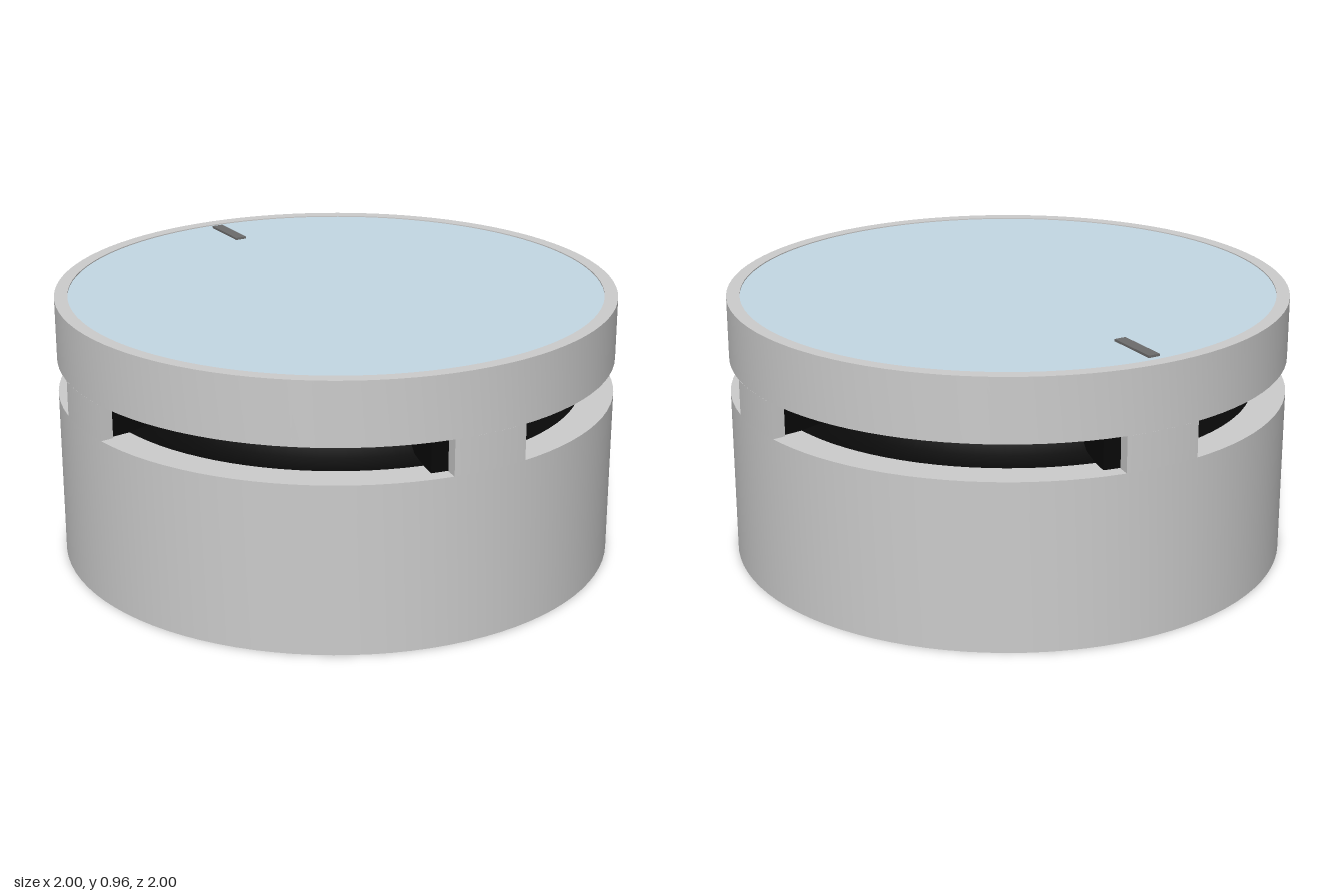
import * as THREE from 'three';
import { toCreasedNormals } from 'three/addons/utils/BufferGeometryUtils.js';

const rad = THREE.MathUtils.degToRad;
const grey = new THREE.MeshStandardMaterial({ color: 0xcccccc });
const black = new THREE.MeshStandardMaterial({ color: 0x080808 });
const blue = new THREE.MeshStandardMaterial({ color: 0xc3d8e4 });
const dark = new THREE.MeshStandardMaterial({ color: 0x6c6c6c });

// Angles are in degrees around y, from +z towards +x; shapes lie in the floor plane.
const polar = (r, deg) => new THREE.Vector2(r * Math.sin(rad(deg)), -r * Math.cos(rad(deg)));

function lathe(profile) {
  const pts = profile.map(([r, y]) => new THREE.Vector2(r, y));
  return toCreasedNormals(new THREE.LatheGeometry(pts, 96), 0.5);
}
const ring = (ri, ro, y0, y1) => lathe([[ri, y0], [ro, y0], [ro, y1], [ri, y1], [ri, y0]]);
const disc = (r, y0, y1) => lathe([[0, y0], [r, y0], [r, y1], [0, y1]]);

function slab(shape, y0, y1) {
  const g = new THREE.ExtrudeGeometry(shape, { depth: y1 - y0, bevelEnabled: false, curveSegments: 48 });
  g.rotateX(-Math.PI / 2).translate(0, y0, 0);
  return toCreasedNormals(g, 0.5);
}

// Part of a ring between two angles
function sector(ri, ro, a0, a1, y0, y1) {
  const s = new THREE.Shape();
  s.absarc(0, 0, ro, rad(a0 - 90), rad(a1 - 90), false);
  s.absarc(0, 0, ri, rad(a1 - 90), rad(a0 - 90), true);
  s.closePath();
  return slab(s, y0, y1);
}

// Rounded slot outline of half length h with end radii r0 and r1, set tangentially
function slotPoints(r, deg, h, r0, r1) {
  const c = polar(r, deg), o = new THREE.Vector2(), pts = [];
  const open = Math.asin(Math.min(1, r1 / r0));
  for (let i = 0; i <= 16; i++) {
    const t = -Math.PI / 2 + Math.PI * i / 16;
    pts.push(new THREE.Vector2(h + r1 * Math.cos(t), r1 * Math.sin(t)));
  }
  for (let i = 0; i <= 20; i++) {
    const t = open + (2 * Math.PI - 2 * open) * i / 20;
    pts.push(new THREE.Vector2(-h + r0 * Math.cos(t), r0 * Math.sin(t)));
  }
  return pts.map(p => p.rotateAround(o, rad(deg)).add(c));
}

function barPoints(r, deg, len, w) {
  const o = new THREE.Vector2(), c = polar(r, deg);
  return [[-1, -1], [1, -1], [1, 1], [-1, 1]].map(([a, b]) =>
    new THREE.Vector2(a * len / 2, b * w / 2).rotateAround(o, rad(deg)).add(c));
}

export function createModel() {
  const model = new THREE.Group();
  const add = (name, geometry, material = grey) => {
    const m = new THREE.Mesh(geometry, material);
    m.name = name;
    model.add(m);
    return m;
  };
  const quarters = [0, 90, 180, 270];

  // Outer housing with four long vent slots
  add('lowerHousing', ring(0.953, 1, 0, 0.602));
  add('upperHousing', ring(0.953, 1, 0.73, 0.955));
  for (const q of quarters) add('housingPillar', sector(0.953, 1, q + 7.8, q + 23.7, 0.602, 0.73));

  // Lid and its marker
  add('lid', disc(0.953, 0.91, 0.951), blue);
  const marker = add('lidMarker', new THREE.BoxGeometry(0.042, 0.02, 0.2), dark);
  marker.position.set(-0.227, 0.949, -0.79);
  marker.rotation.y = rad(15.7);

  // Vent chamber behind the slots: sill, dark cone, pale core, dark ceiling and posts
  add('chamberSill', disc(0.953, 0.56, 0.602));
  add('chamberCone', lathe([[0.88, 0.602], [0.8, 0.612], [0.69, 0.69], [0, 0.69]]), black);
  add('chamberCore', lathe([[0.69, 0.69], [0.69, 0.715], [0.82, 0.735], [0.82, 0.76], [0, 0.76]]));
  add('chamberCeiling', ring(0.82, 0.953, 0.732, 0.76), black);
  for (const q of quarters) add('chamberPost', sector(0.69, 0.948, q + 4.3, q + 23, 0.602, 0.735), black);

  // Inner deck and mounting drum with four dark side windows
  add('innerDeck', disc(0.953, 0.38, 0.42));
  for (const q of quarters) {
    add('drumWall', sector(0.735, 0.775, q + 22, q + 95, 0.045, 0.38));
    add('drumWindow', sector(0.715, 0.735, q + 4, q + 23, 0.045, 0.38), black);
  }

  // Mounting plate with centre hole, slits and keyholes
  const plate = new THREE.Shape();
  plate.absarc(0, 0, 0.78, 0, Math.PI * 2, false);
  const centre = new THREE.Path();
  centre.absarc(0, 0, 0.045, 0, Math.PI * 2, true);
  plate.holes.push(centre);
  for (const q of quarters) {
    plate.holes.push(new THREE.Path(barPoints(0.3, q + 5, 0.21, 0.035)));
    const keyhole = slotPoints(0.57, q + 52, 0.08, 0.075, 0.05);
    plate.holes.push(new THREE.Path(keyhole));
    // Raised rim around each keyhole
    const rim = new THREE.Shape(slotPoints(0.57, q + 52, 0.085, 0.125, 0.125));
    rim.holes.push(new THREE.Path(keyhole));
    add('keyholeRim', slab(rim, 0.005, 0.025));
  }
  add('mountingPlate', slab(plate, 0.025, 0.045));
  add('centreRim', ring(0.045, 0.107, 0.008, 0.025));

  return model;
}
